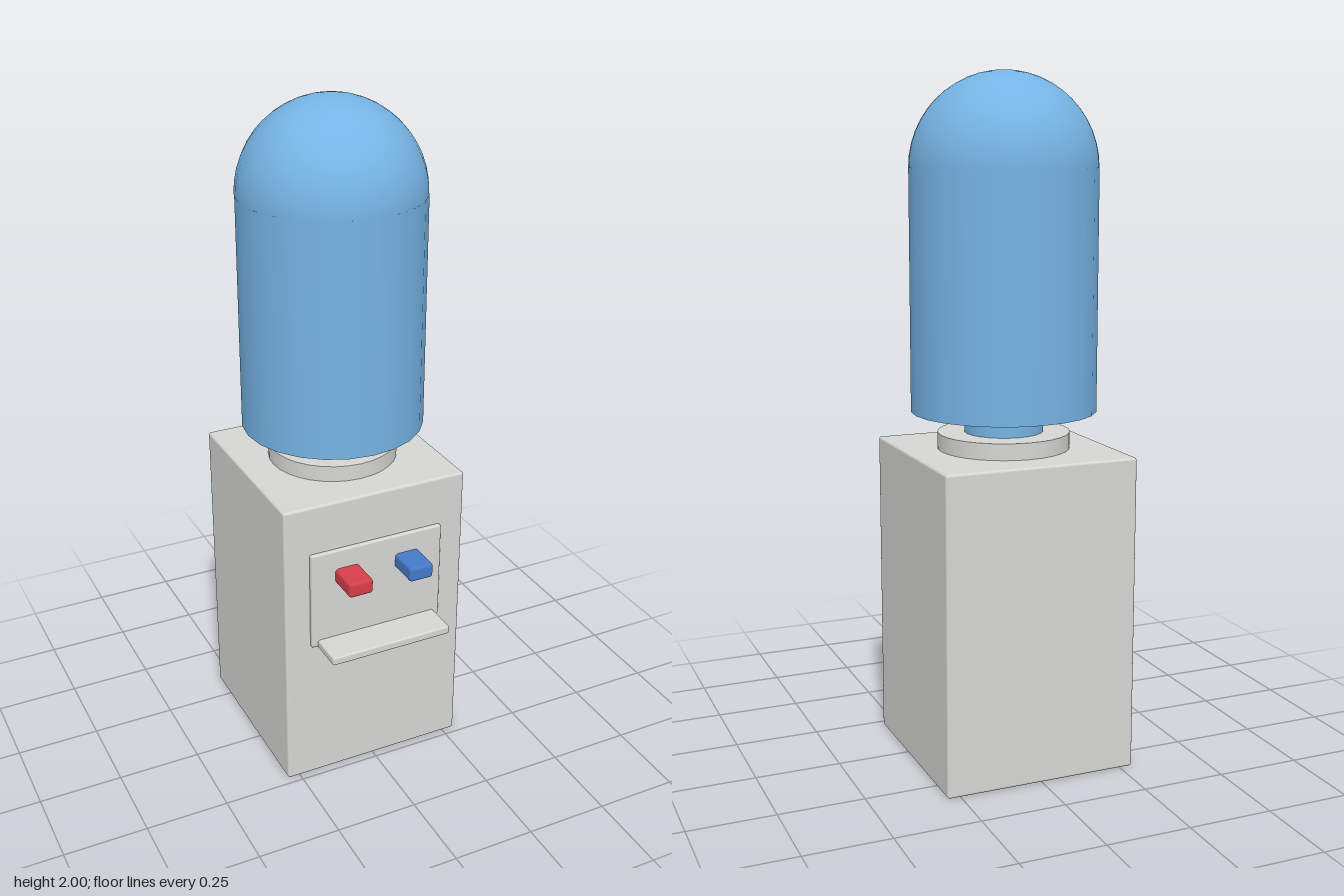
import * as THREE from 'three';
import { RoundedBoxGeometry } from 'three/addons/geometries/RoundedBoxGeometry.js';

function material(name, color) {
  const m = new THREE.MeshStandardMaterial({ color });
  m.name = name;
  return m;
}

export function createModel() {
  const group = new THREE.Group();
  group.name = 'waterCooler';
  const casing = material('casing grey', 0xd6d6d3);
  const bottleBlue = material('bottle blue', 0x76b4e4);
  const hotRed = material('hot tap red', 0xd63f4a);
  const coldBlue = material('cold tap blue', 0x457ac8);
  const axisZ = -0.06; // centre line of the bottle

  function add(name, geometry, mat, x, y, z) {
    const mesh = new THREE.Mesh(geometry, mat);
    mesh.name = name;
    mesh.position.set(x, y, z);
    group.add(mesh);
  }

  // Rounded block given by its lower and upper corners
  function block(name, mat, [x0, y0, z0], [x1, y1, z1], radius) {
    const geometry = new RoundedBoxGeometry(x1 - x0, y1 - y0, z1 - z0, 2, radius);
    add(name, geometry, mat, (x0 + x1) / 2, (y0 + y1) / 2, (z0 + z1) / 2);
  }

  // Upright cylinder on the bottle axis
  function drum(name, mat, radius, y0, y1, sides) {
    const geometry = new THREE.CylinderGeometry(radius, radius, y1 - y0, sides);
    add(name, geometry, mat, 0, (y0 + y1) / 2, axisZ);
  }

  // Cabinet with dispensing panel and drip tray
  block('cabinet', casing, [-0.289, 0, -0.347], [0.289, 0.927, 0.229], 0.008);
  block('dispenserPanel', casing, [-0.211, 0.465, 0.215], [0.211, 0.775, 0.242], 0.005);
  block('dripTray', casing, [-0.192, 0.461, 0.20], [0.192, 0.487, 0.345], 0.006);

  // Hot and cold taps
  for (const [name, mat, x] of [['hotTap', hotRed, -0.097], ['coldTap', coldBlue, 0.097]]) {
    block(name, mat, [x - 0.038, 0.668, 0.22], [x + 0.038, 0.715, 0.336], 0.01);
  }

  // Collar and upturned bottle with a domed end
  drum('collar', casing, 0.193, 0.92, 0.975, 32);
  drum('bottleNeck', bottleBlue, 0.115, 0.97, 1.04, 24);
  drum('bottleBody', bottleBlue, 0.27, 1.037, 1.73, 24);
  add('bottleDome', new THREE.SphereGeometry(0.27, 32, 12, 0, Math.PI * 2, 0, Math.PI / 2),
    bottleBlue, 0, 1.73, axisZ);

  return group;
}
